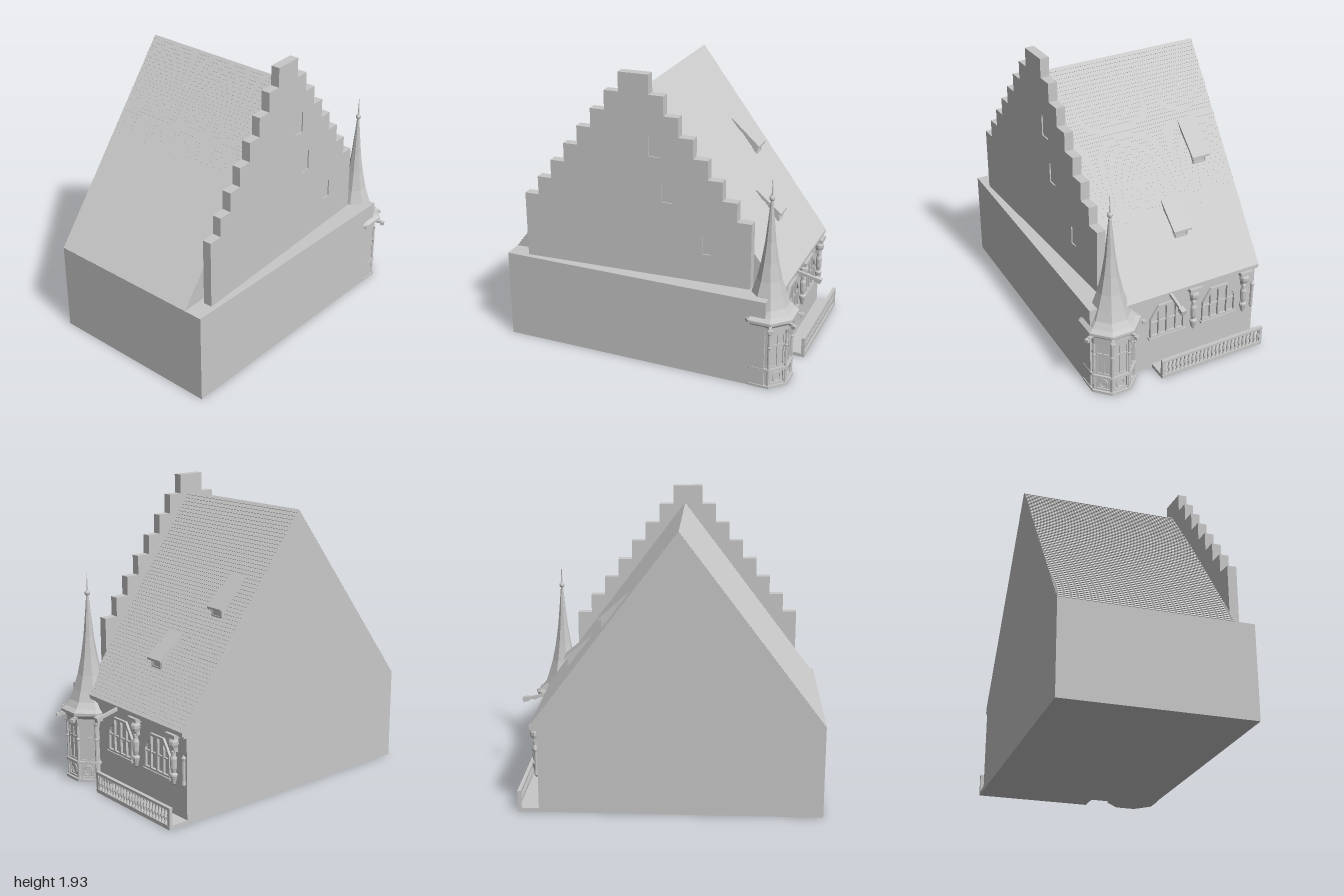
import * as THREE from 'three';

const stone = new THREE.MeshStandardMaterial({ color: 0xc8c8c8, flatShading: true });
stone.name = 'pale grey';

function add(parent, name, geometry, x = 0, y = 0, z = 0) {
  const mesh = new THREE.Mesh(geometry, stone);
  mesh.name = name;
  mesh.position.set(x, y, z);
  parent.add(mesh);
  return mesh;
}

// box given by its limits on each axis
function slab(parent, name, x0, x1, y0, y1, z0, z1) {
  return add(parent, name, new THREE.BoxGeometry(x1 - x0, y1 - y0, z1 - z0),
    (x0 + x1) / 2, (y0 + y1) / 2, (z0 + z1) / 2);
}

const outline = pts => pts.map(p => new THREE.Vector2(p[0], p[1]));
const lathe = (pts, n, start = 0) => new THREE.LatheGeometry(outline(pts), n, start);

function plate(pts, depth, holes = []) {
  const shape = new THREE.Shape(outline(pts));
  holes.forEach(h => shape.holes.push(new THREE.Path(outline(h))));
  return new THREE.ExtrudeGeometry(shape, { depth, bevelEnabled: false });
}

// profile of [z, y] points swept from x0 to x1
const sideways = (pts, x0, x1, holes) =>
  plate(pts, x1 - x0, holes).rotateY(-Math.PI / 2).translate(x1, 0, 0);

function moveX(geometry, rule) {
  const p = geometry.attributes.position;
  for (let i = 0; i < p.count; i++) p.setX(i, rule(p.getX(i), p.getZ(i)));
  geometry.computeVertexNormals();
  return geometry;
}

const rect = (x0, x1, y0, y1) => [[x0, y0], [x1, y0], [x1, y1], [x0, y1]];

// roof with rows of overlapping tiles
function roofGeometry() {
  const front = [], back = [], rows = 60, t = 0.005;
  const ridge = [0.085, 1.812], eaveF = [0.996, 0.605], eaveB = [-0.836, 0.585];
  const side = (eave, sign, out) => {
    for (let i = 0; i < rows; i++) {
      const a = i / rows, b = (i + 1) / rows;
      const at = k => [eave[0] + (ridge[0] - eave[0]) * k, eave[1] + (ridge[1] - eave[1]) * k];
      const p = at(a);
      out.push(p, [p[0] + sign * t * 0.8, p[1] + t * 0.6]);
      if (i === rows - 1) out.push(at(b));
    }
  };
  side(eaveF, 1, front);
  side(eaveB, -1, back);
  back.pop();
  const pts = [[-0.8, 0.56], [0.996, 0.56], ...front, ...back.reverse(), [-0.836, 0.56]];
  return moveX(sideways(pts, -0.63, 0.45), (x, z) => x > 0 ? Math.min(0.45, 0.43 + 0.06 * z) : x);
}

// stepped gable wall with recessed windows, slightly skewed in plan
function gable(parent) {
  const g = new THREE.Group();
  g.name = 'steppedGable';
  parent.add(g);
  const left = [], right = [];
  for (let i = 0; i < 8; i++) {
    const h = 0.0975 + 0.0945 * i, top = 1.932 - 0.126 * i;
    const low = i === 7 ? 0.6 : top - 0.126;
    right.push([0.103 + h, low], [0.103 + h, top]);
    left.push([0.103 - h, top], [0.103 - h, low]);
  }
  const up = [];
  for (let i = 7; i >= 0; i--) up.push(right[2 * i], right[2 * i + 1]);
  const openings = [rect(-0.065, 0.01, 1.41, 1.55), rect(-0.145, -0.075, 1.115, 1.25), rect(-0.4, -0.34, 0.8, 0.92)];
  const skew = (x, z) => x + 0.06 * z;
  add(g, 'gableWall', moveX(sideways([...up, ...left], 0.428, 0.488, openings), skew));
  openings.forEach(o => add(g, 'gableWindow', moveX(sideways(o, 0.435, 0.48), skew)));
}

// shed dormer: sloping lid over a small box
function dormer(parent, x0, x1, z0, y0, z1, y1) {
  add(parent, 'dormerLid', sideways([[z0, y0 - 0.03], [z0, y0], [z1, y1], [z1, y1 - 0.014]], x0, x1));
  const zw = z1 + 0.025;
  add(parent, 'dormerBox', sideways([[z0 - 0.01, y0 - 0.05], [zw, y1 + 0.005], [zw, y1 - 0.09]].reverse(),
    x0 + 0.018, x1 - 0.018));
  add(parent, 'dormerFrame', plate(rect(x0 + 0.02, x1 - 0.02, y1 - 0.06, y1), 0.006,
    [rect(x0 + 0.03, x1 - 0.03, y1 - 0.05, y1 - 0.01)]), 0, 0, zw - 0.006);
}

// shouldered window group with four lights
function windowGroup(parent, cx) {
  const g = new THREE.Group();
  g.name = 'windowGroup';
  g.position.set(cx, 0, -0.816);
  parent.add(g);
  const w = 0.125, holes = [];
  for (const s of [-1, 1]) {
    holes.push(rect(s * 0.033 - 0.024, s * 0.033 + 0.024, 0.265, 0.475));
    const o = [[0.068, 0.265], [0.115, 0.265], [0.115, 0.385], [0.1, 0.415], [0.068, 0.45]];
    holes.push(o.map(p => [s * p[0], p[1]]));
  }
  add(g, 'windowFrame', plate([[-w, 0.25], [w, 0.25], [w, 0.395], [0.105, 0.43], [0.066, 0.49],
    [-0.066, 0.49], [-0.105, 0.43], [-w, 0.395]], 0.018, holes));
  slab(g, 'windowTransom', -w, w, 0.36, 0.37, 0.004, 0.018);
  slab(g, 'windowSill', -w - 0.01, w + 0.01, 0.238, 0.252, -0.008, 0.018);
}

// figure column with console and canopy
function figure(parent, x) {
  const g = new THREE.Group();
  g.name = 'figureColumn';
  g.position.set(x, 0, -0.825);
  parent.add(g);
  add(g, 'column', lathe([[0, 0.225], [0.012, 0.24], [0.024, 0.29], [0.024, 0.3], [0.013, 0.31], [0.02, 0.34],
    [0.022, 0.4], [0.014, 0.42], [0.014, 0.445], [0, 0.455]], 10));
  add(g, 'canopy', lathe([[0.026, 0.47], [0.032, 0.49], [0.032, 0.51], [0.02, 0.53], [0.012, 0.56], [0, 0.575]], 8));
  slab(g, 'canopyBracket', -0.045, 0.045, 0.535, 0.56, -0.03, 0.03);
  slab(g, 'canopyArm', -0.014, 0.014, 0.44, 0.54, -0.005, 0.03);
}

// balcony with turned balusters
function balcony(parent) {
  const g = new THREE.Group();
  g.name = 'balcony';
  parent.add(g);
  slab(g, 'balconyFloor', -0.63, 0.13, 0, 0.025, -0.935, -0.8);
  slab(g, 'handrail', -0.63, 0.13, 0.123, 0.14, -0.935, -0.912);
  const turned = lathe([[0.009, 0.025], [0.005, 0.04], [0.01, 0.065], [0.005, 0.1], [0.009, 0.123]], 8);
  for (let i = 0; i < 25; i++) add(g, 'baluster', turned, -0.605 + i * 0.0296, 0, -0.924);
  for (const x of [-0.62, 0.12]) slab(g, 'endPost', x - 0.01, x + 0.01, 0.02, 0.13, -0.934, -0.913);
}

// octagonal corner turret
function turret(parent) {
  const g = new THREE.Group();
  g.name = 'turret';
  g.position.set(0.42, 0, -0.77);
  parent.add(g);
  const k = 1 / Math.cos(Math.PI / 8), s = Math.PI / 8;
  const ring = (name, a, y0, y1, a2 = a) =>
    add(g, name, new THREE.CylinderGeometry(a2 * k, a * k, y1 - y0, 8).rotateY(s), 0, (y0 + y1) / 2, 0);
  ring('turretCore', 0.137, 0, 0.47);
  ring('turretBase', 0.16, 0, 0.018);
  ring('turretLedge', 0.158, 0.122, 0.138);
  ring('turretLintel', 0.148, 0.39, 0.43);
  ring('turretCornice', 0.15, 0.43, 0.46, 0.17);
  ring('turretEave', 0.18, 0.46, 0.478);
  add(g, 'spire', lathe([[0.195, 0.477], [0.165, 0.497], [0.136, 0.535], [0.112, 0.6], [0.08, 0.7], [0.054, 0.82],
    [0.034, 0.95], [0.019, 1.1], [0.009, 1.21], [0.006, 1.24]], 8, s));
  add(g, 'finialBall', new THREE.SphereGeometry(0.018, 12, 8), 0, 1.235, 0);
  add(g, 'finialRod', new THREE.CylinderGeometry(0.001, 0.006, 0.12, 8), 0, 1.305, 0);
  for (let i = -2; i <= 2; i++) {
    const face = new THREE.Group();
    face.name = 'turretFace';
    face.rotation.y = Math.PI + i * Math.PI / 4;
    g.add(face);
    // panel with oval, two window lights with transom and arched heads
    add(face, 'lowerPanel', plate(rect(-0.058, 0.058, 0.015, 0.125), 0.012, [rect(-0.042, 0.042, 0.03, 0.11)]), 0, 0, 0.134);
    const oval = add(face, 'ovalMedallion', new THREE.TorusGeometry(0.026, 0.005, 6, 20), 0, 0.07, 0.139);
    oval.scale.y = 1.25;
    const lights = [];
    for (const c of [-0.022, 0.022]) {
      lights.push(rect(c - 0.017, c + 0.017, 0.15, 0.29));
      lights.push([[c - 0.017, 0.305], [c + 0.017, 0.305], [c + 0.017, 0.365], [c, 0.38], [c - 0.017, 0.365]]);
    }
    add(face, 'turretWindow', plate(rect(-0.058, 0.058, 0.135, 0.395), 0.01, lights), 0, 0, 0.134);
  }
  for (let i = -2; i <= 1; i++) {
    const corner = new THREE.Group();
    corner.name = 'turretCorner';
    corner.rotation.y = Math.PI + (i + 0.5) * Math.PI / 4;
    g.add(corner);
    add(corner, 'cornerColumn', lathe([[0.014, 0], [0.01, 0.03], [0.01, 0.28], [0.014, 0.29], [0.01, 0.3], [0.01, 0.38], [0.016, 0.4]], 8), 0, 0, 0.155);
    slab(corner, 'waterSpout', -0.009, 0.009, 0.435, 0.452, 0.14, 0.205);
    slab(corner, 'spoutHead', -0.013, 0.013, 0.424, 0.446, 0.2, 0.226);
  }
}

export function createModel() {
  const model = new THREE.Group();
  model.name = 'steppedGableHouse';
  slab(model, 'mainWalls', -0.63, 0.575, 0, 0.605, -0.8, 1);
  add(model, 'tiledRoof', roofGeometry());
  gable(model);
  dormer(model, -0.215, -0.085, -0.5, 1.045, -0.675, 0.9);
  dormer(model, -0.49, -0.36, -0.22, 1.415, -0.42, 1.235);

  // back facade
  windowGroup(model, -0.355);
  windowGroup(model, 0.03);
  figure(model, -0.535);
  figure(model, -0.155);
  add(model, 'cornerShaft', lathe([[0, 0.23], [0.014, 0.25], [0.011, 0.28], [0.011, 0.4], [0.015, 0.42], [0, 0.44]], 8), -0.612, 0, -0.81);
  slab(model, 'eaveMoulding', -0.63, 0.28, 0.545, 0.565, -0.822, -0.79);
  balcony(model);

  // hoist beam under the eave
  const hoist = new THREE.Group();
  hoist.name = 'hoistBeam';
  hoist.position.set(0.025, 0.575, -0.81);
  hoist.rotation.x = -0.24;
  model.add(hoist);
  slab(hoist, 'beam', -0.009, 0.009, -0.012, 0.008, -0.16, 0.02);
  slab(hoist, 'beamHead', -0.017, 0.017, -0.018, 0.014, -0.192, -0.15);

  turret(model);
  return model;
}
